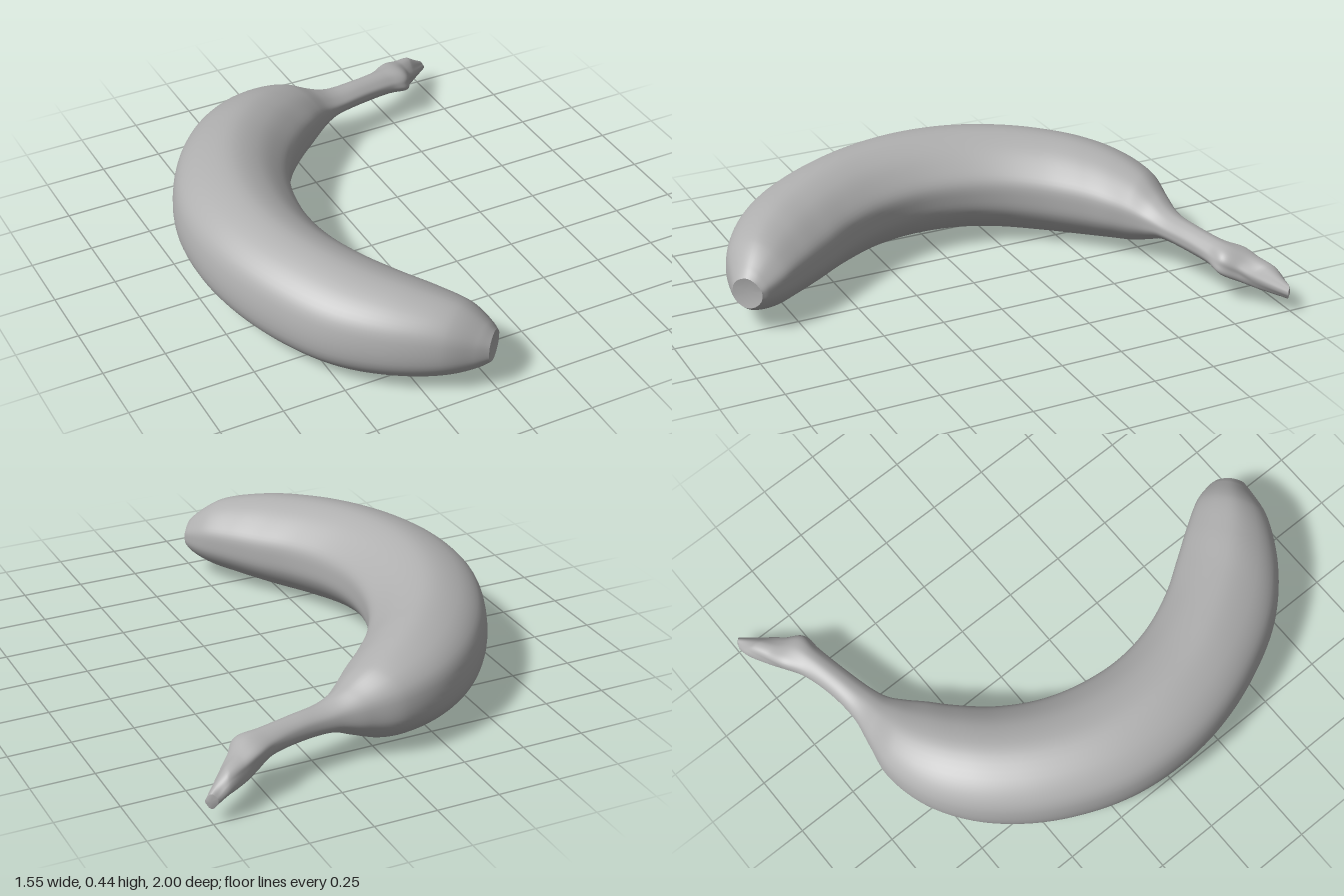
import * as THREE from 'three';

// Stations from blossom tip to stem end: outer x, z | inner x, z | bottom y, top y
const STATIONS = [
  [-0.04, 0.995, 0.052, 0.91, 0.11, 0.235],
  [-0.10, 0.985, 0.05, 0.88, 0.085, 0.27],
  [-0.22, 0.955, 0.025, 0.79, 0.05, 0.335],
  [-0.40, 0.85, -0.04, 0.68, 0.022, 0.375],
  [-0.56, 0.69, -0.12, 0.56, 0.005, 0.398],
  [-0.68, 0.47, -0.21, 0.42, 0.005, 0.418],
  [-0.75, 0.25, -0.28, 0.25, 0.015, 0.43],
  [-0.773, 0.05, -0.305, 0.08, 0.02, 0.438],
  [-0.755, -0.17, -0.285, -0.10, 0.02, 0.44],
  [-0.69, -0.37, -0.235, -0.25, 0.013, 0.436],
  [-0.58, -0.565, -0.15, -0.39, 0.005, 0.425],
  [-0.43, -0.73, -0.04, -0.51, 0.01, 0.405],
  [-0.26, -0.835, 0.04, -0.58, 0.027, 0.375],
  [-0.08, -0.875, 0.10, -0.635, 0.05, 0.335],
  [0.06, -0.855, 0.16, -0.68, 0.09, 0.28],
  [0.18, -0.835, 0.22, -0.705, 0.125, 0.245],
  [0.32, -0.845, 0.36, -0.74, 0.13, 0.235],
  [0.45, -0.88, 0.50, -0.765, 0.12, 0.23],
  [0.53, -0.93, 0.58, -0.77, 0.10, 0.228],
  [0.60, -0.96, 0.625, -0.83, 0.085, 0.20],
  [0.68, -0.995, 0.665, -0.87, 0.075, 0.178],
  [0.73, -1.0, 0.77, -0.975, 0.06, 0.12],
];

// Soft-edged faceted section: u runs outer (-1) to inner (+1), v is up
const SECTION = [
  [1, 0], [0.97, 0.3], [0.78, 0.57], [0.45, 0.85], [0, 1], [-0.5, 0.87], [-0.82, 0.62],
  [-0.96, 0.33], [-1, -0.2], [-0.88, -0.52], [-0.5, -0.87], [0, -1], [0.45, -0.87],
  [0.76, -0.62], [0.96, -0.3],
];

const AROUND = 60, ALONG = 168;

function buildRings() {
  const outer = new THREE.CatmullRomCurve3(STATIONS.map(s => new THREE.Vector3(s[0], s[4], s[1])));
  const inner = new THREE.CatmullRomCurve3(STATIONS.map(s => new THREE.Vector3(s[2], s[5], s[3])));
  const section = new THREE.CatmullRomCurve3(
    SECTION.map(([u, v]) => new THREE.Vector3(u, v, 0)), true);
  const rings = [];
  for (let i = 0; i <= ALONG; i++) {
    const t = i / ALONG;
    const o = outer.getPoint(t), n = inner.getPoint(t);
    // Wrinkles grow toward the torn stem end
    const wrinkle = 0.1 * THREE.MathUtils.smoothstep(t, 0.76, 0.87);
    const ring = [];
    for (let j = 0; j < AROUND; j++) {
      const p = section.getPoint(j / AROUND);
      const k = 1 - wrinkle * (0.5 + 0.5 * Math.sin(4 * j / AROUND * Math.PI * 2 + t * 30));
      const a = 0.5 + 0.5 * p.x * k, b = 0.5 + 0.5 * p.y * k;
      ring.push(new THREE.Vector3(
        o.x + (n.x - o.x) * a, o.y + (n.y - o.y) * b, o.z + (n.z - o.z) * a));
    }
    rings.push(ring);
  }
  return rings;
}

function toGeometry(points, index) {
  const g = new THREE.BufferGeometry().setFromPoints(points);
  g.setIndex(index);
  g.computeVertexNormals();
  return g;
}

// Smooth skin through all rings
function skin(rings) {
  const index = [];
  for (let i = 0; i < ALONG; i++) {
    for (let j = 0; j < AROUND; j++) {
      const k = (j + 1) % AROUND;
      const a = i * AROUND + j, b = i * AROUND + k;
      const c = a + AROUND, d = b + AROUND;
      index.push(a, c, b, b, c, d);
    }
  }
  return toGeometry(rings.flat(), index);
}

// Fan that closes an end, with its centre pushed in or out
function cap(ring, push, flip) {
  const centre = new THREE.Vector3();
  ring.forEach(p => centre.addScaledVector(p, 1 / AROUND));
  centre.add(push);
  const index = [];
  for (let j = 0; j < AROUND; j++) {
    const k = (j + 1) % AROUND;
    index.push(AROUND, flip ? k : j, flip ? j : k);
  }
  return toGeometry([...ring, centre], index);
}

export function createModel() {
  const group = new THREE.Group();
  group.name = 'banana';
  const grey = new THREE.MeshStandardMaterial({ color: 0xb0b0b0 });
  grey.name = 'plainGrey';
  const add = (name, geometry) => {
    const mesh = new THREE.Mesh(geometry, grey);
    mesh.name = name;
    group.add(mesh);
  };

  const rings = buildRings();
  add('peel', skin(rings));
  add('blossomTip', cap(rings[0], new THREE.Vector3(-0.008, 0, -0.01), false));
  add('stemEnd', cap(rings[ALONG], new THREE.Vector3(0.005, 0, -0.005), true));
  return group;
}
